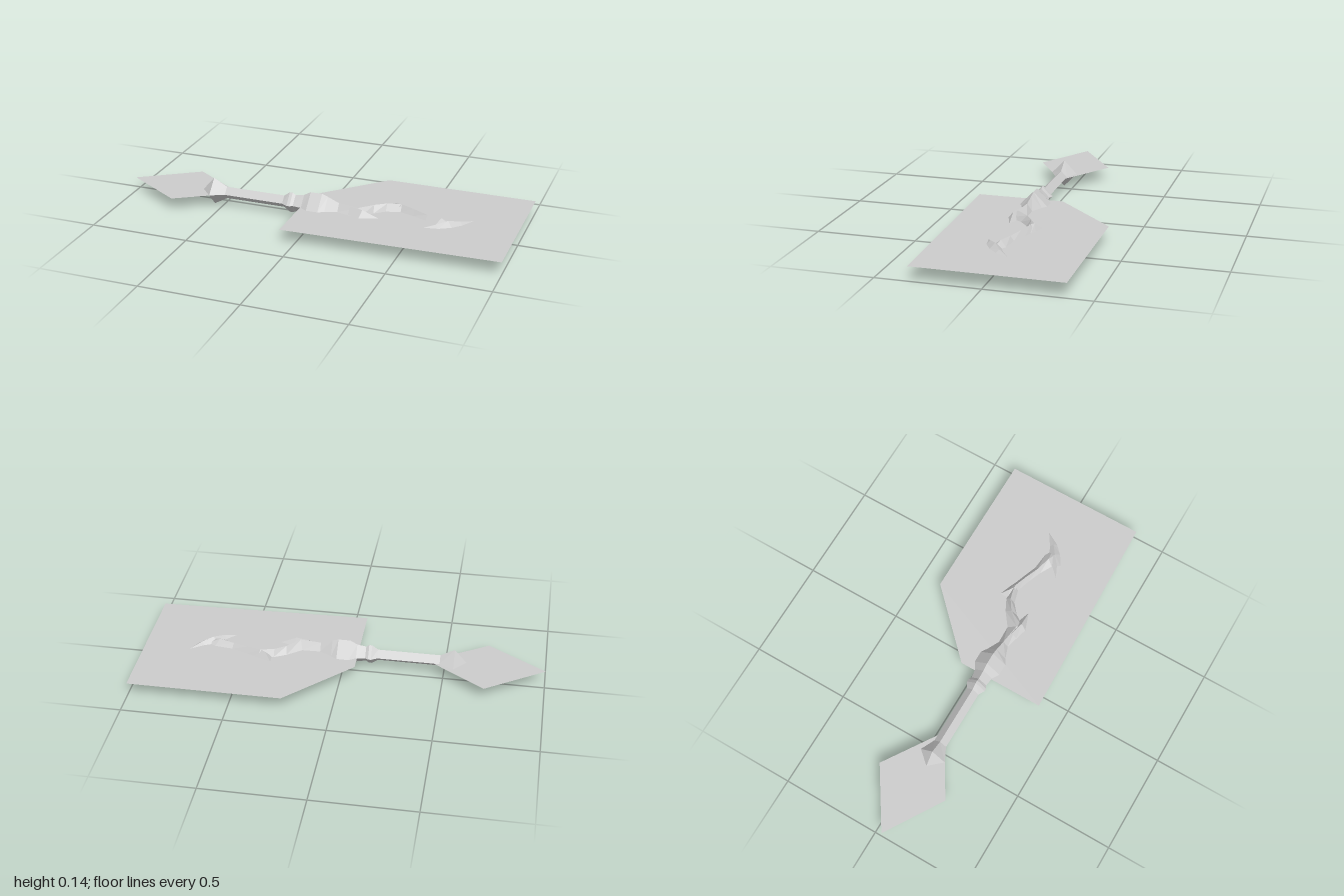
import * as THREE from 'three';

const MID = 0.073; // height of the centre plane

// Loft of diamond cross-sections: each is [leftX, leftZ, rightX, rightZ, halfHeight]
function loft(name, sections, material) {
  const rings = sections.map(([lx, lz, rx, rz, h]) => {
    const cx = (lx + rx) / 2, cz = (lz + rz) / 2;
    return [[lx, MID, lz], [cx, MID + h, cz], [rx, MID, rz], [cx, MID - h, cz]];
  });
  const pos = [];
  for (let i = 0; i < rings.length - 1; i++) {
    for (let j = 0; j < 4; j++) {
      const k = (j + 1) % 4;
      const a = rings[i][j], b = rings[i][k], c = rings[i + 1][k], d = rings[i + 1][j];
      pos.push(...a, ...b, ...d, ...b, ...c, ...d);
    }
  }
  const geo = new THREE.BufferGeometry();
  geo.setAttribute('position', new THREE.Float32BufferAttribute(pos, 3));
  geo.computeVertexNormals();
  const mesh = new THREE.Mesh(geo, material);
  mesh.name = name;
  return mesh;
}

// Straight section centred on the shaft axis
const ring = (x, w, h) => [x, 0.053 - w, x, 0.053 + w, h];

// Flat horizontal sheet from [x, z] corners
function sheet(name, corners, material) {
  const shape = new THREE.Shape(corners.map(([x, z]) => new THREE.Vector2(x, -z)));
  const geo = new THREE.ShapeGeometry(shape).rotateX(-Math.PI / 2);
  const mesh = new THREE.Mesh(geo, material);
  mesh.name = name;
  mesh.position.y = MID;
  return mesh;
}

export function createModel() {
  const group = new THREE.Group();
  group.name = 'staff';
  const grey = new THREE.MeshStandardMaterial({ color: 0xcccccc, flatShading: true, side: THREE.DoubleSide });
  grey.name = 'light grey';

  group.add(
    // Pointed pommel and straight grip
    loft('pommel', [ring(-0.61, 0, 0), ring(-0.55, 0.067, 0.07), ring(-0.48, 0.033, 0.031)], grey),
    loft('grip', [ring(-0.48, 0.033, 0.031), ring(-0.17, 0.033, 0.031)], grey),
    // Collar and swollen guard
    loft('collar', [ring(-0.17, 0.033, 0.031), ring(-0.14, 0.05, 0.053), ring(-0.125, 0.05, 0.053),
      ring(-0.11, 0.042, 0.043)], grey),
    loft('guard', [ring(-0.11, 0.042, 0.043), ring(-0.065, 0.048, 0.05), ring(-0.03, 0.07, 0.07),
      ring(0.03, 0.07, 0.07), [0.06, 0.003, 0.06, 0.106, 0.06], [0.12, 0.034, 0.12, 0.085, 0.037]], grey),
    // Winding neck
    loft('neck', [[0.12, 0.034, 0.12, 0.085, 0.037], [0.21, 0.032, 0.24, 0.116, 0.034],
      [0.28, -0.02, 0.29, 0.04, 0.033], [0.34, -0.05, 0.34, -0.003, 0.034], [0.41, -0.065, 0.41, -0.022, 0.033],
      [0.48, -0.04, 0.48, 0.0, 0.028], [0.56, -0.01, 0.55, 0.028, 0.022], [0.65, 0.0, 0.61, 0.06, 0.026],
      [0.69, 0.02, 0.65, 0.07, 0.01]], grey),
    // Opposed barbs
    loft('frontBarb', [[0.18, 0.045, 0.18, 0.1, 0.035], [0.26, 0.062, 0.24, 0.117, 0.033],
      [0.33, 0.085, 0.33, 0.085, 0]], grey),
    loft('backBarb', [[0.38, -0.02, 0.44, -0.055, 0.032], [0.35, -0.045, 0.41, -0.068, 0.032],
      [0.35, -0.09, 0.35, -0.09, 0]], grey),
    // Crescent tip
    loft('crescentBlade', [[0.565, 0.11, 0.565, 0.11, 0], [0.605, 0.07, 0.635, 0.098, 0.014],
      [0.645, 0.025, 0.69, 0.065, 0.024], [0.705, -0.003, 0.732, 0.022, 0.013],
      [0.77, -0.045, 0.77, -0.045, 0]], grey),
    // Flat sheets around both ends
    sheet('headSheet', [[-0.07, -0.07], [0.24, -0.38], [1, -0.38], [1, 0.34], [-0.07, 0.37]], grey),
    sheet('pommelSheet', [[-1, 0.04], [-0.71, -0.15], [-0.42, 0.04], [-0.71, 0.22]], grey),
  );
  return group;
}
